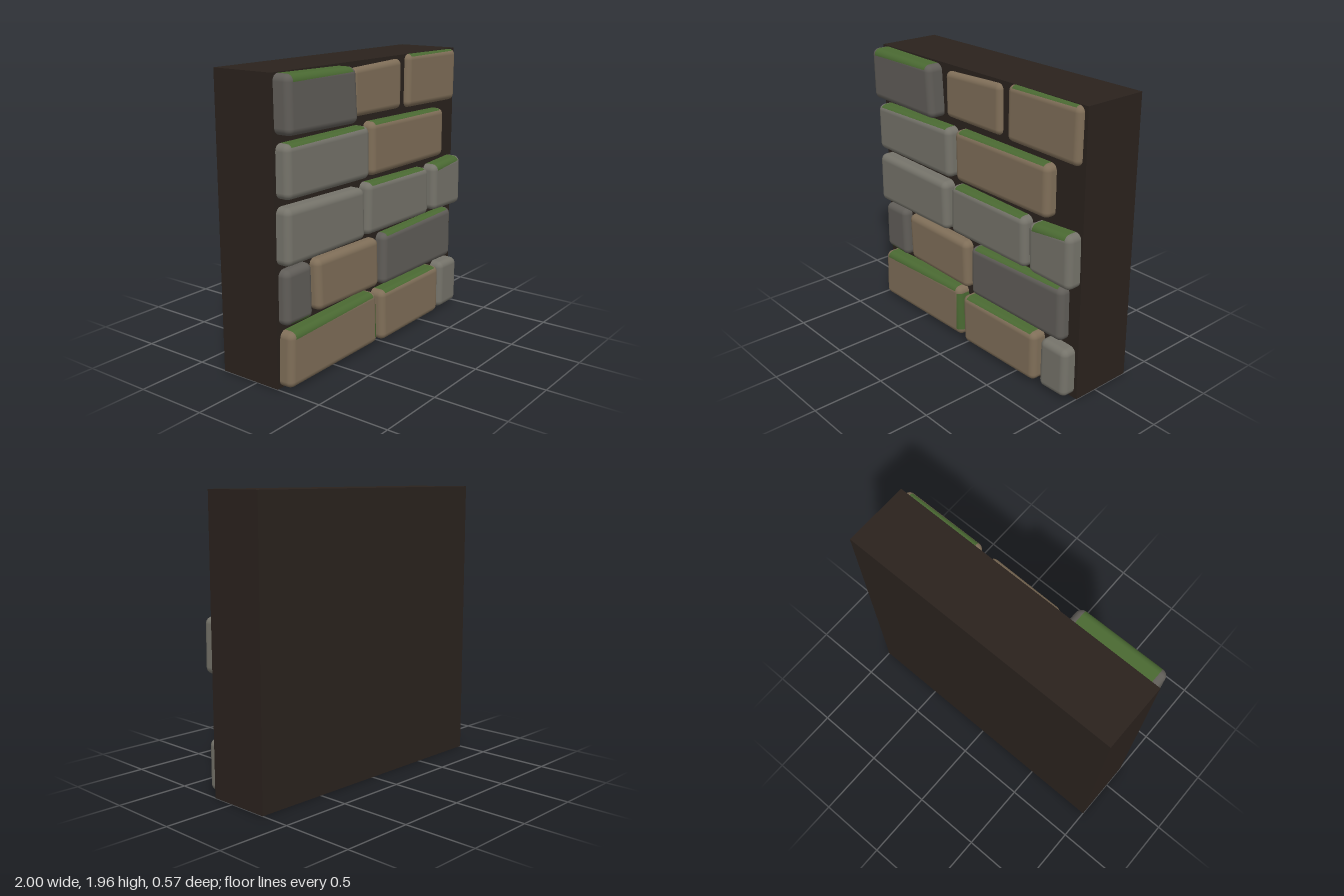
import * as THREE from 'three';
import { RoundedBoxGeometry } from 'three/addons/geometries/RoundedBoxGeometry.js';

const mat = (color) => new THREE.MeshStandardMaterial({ color });
const materials = {
  mortar: mat(0x2a221d), brown: mat(0x7f6e58), light: mat(0x75736a),
  dark: mat(0x605d58), moss: mat(0x4a6932),
};
const BACK = 0.1; // stones are sunk into the mortar slab (its face is at z = 0.17)
const lerp = THREE.MathUtils.lerp;

// Each stone: [colour, front z, mossy edges, x/y of bottom left, bottom right, top right, top left]
const stones = [
  // bottom course
  ['brown', 0.265, 'TR', -0.98, 0.01, -0.055, 0.02, -0.075, 0.395, -0.965, 0.375],
  ['brown', 0.275, 't', -0.02, 0.01, 0.70, 0.02, 0.70, 0.375, -0.03, 0.375],
  ['light', 0.265, '', 0.735, 0.02, 0.975, 0.025, 0.975, 0.37, 0.74, 0.375],
  // second course
  ['dark', 0.24, 'b', -0.975, 0.415, -0.715, 0.405, -0.725, 0.775, -0.97, 0.77],
  ['brown', 0.24, '', -0.665, 0.42, -0.01, 0.41, -0.02, 0.76, -0.68, 0.77],
  ['dark', 0.245, 't', 0.03, 0.40, 0.91, 0.40, 0.905, 0.78, 0.03, 0.765],
  // third course
  ['light', 0.265, '', -0.985, 0.80, -0.20, 0.80, -0.21, 1.15, -0.98, 1.165],
  ['light', 0.255, 't', -0.17, 0.805, 0.58, 0.80, 0.57, 1.145, -0.16, 1.16],
  ['light', 0.27, 'T', 0.625, 0.81, 0.99, 0.80, 0.985, 1.17, 0.615, 1.145],
  // fourth course
  ['light', 0.265, 't', -0.975, 1.21, -0.155, 1.20, -0.16, 1.55, -0.975, 1.545],
  ['brown', 0.25, 't', -0.115, 1.20, 0.765, 1.20, 0.765, 1.55, -0.12, 1.56],
  // top course
  ['dark', 0.287, 'T', -0.98, 1.595, -0.305, 1.585, -0.33, 1.945, -0.985, 1.955],
  ['brown', 0.205, '', -0.26, 1.605, 0.285, 1.60, 0.285, 1.94, -0.26, 1.92],
  ['brown', 0.21, 't', 0.35, 1.595, 0.97, 1.585, 0.975, 1.955, 0.355, 1.96],
];

// Mossy edge rules: capitals reach over the front bevel, lower case stays on the edge face
const mossRules = {
  T: (n, along) => n.y > 0.2 && n.z > -0.5 && along.x,
  t: (n, along) => n.y > 0.65 && n.z > -0.5 && along.x,
  b: (n, along) => n.y < -0.45 && n.z > -0.5 && along.x,
  R: (n, along) => n.x > 0.2 && n.z > -0.5 && along.y,
};

// Rounded block whose outline is warped to four corners, its faces sorted into stone and moss
function createStone([colour, front, edges, ax, ay, bx, by, cx, cy, dx, dy], index) {
  const w = (bx - ax + cx - dx) / 2, h = (dy - ay + cy - by) / 2, depth = front - BACK;
  const r = Math.min(0.045, depth * 0.38);
  const box = new RoundedBoxGeometry(w, h, depth, 3, r);
  const pos = box.attributes.position, nor = box.attributes.normal;
  const parts = { stone: { p: [], n: [] }, moss: { p: [], n: [] } };
  const p = new THREE.Vector3(), n = new THREE.Vector3(), mid = new THREE.Vector3();

  for (let f = 0; f < pos.count; f += 3) {
    n.set(0, 0, 0);
    mid.set(0, 0, 0);
    for (let k = f; k < f + 3; k++) {
      n.add(p.fromBufferAttribute(nor, k));
      mid.add(p.fromBufferAttribute(pos, k));
    }
    n.normalize();
    mid.divideScalar(3);
    const along = { x: Math.abs(mid.x) < w / 2 - r, y: Math.abs(mid.y) < h / 2 - r };
    const mossy = [...edges].some((e) => mossRules[e](n, along));
    const out = mossy ? parts.moss : parts.stone;
    for (let k = f; k < f + 3; k++) {
      p.fromBufferAttribute(pos, k);
      const u = p.x / w + 0.5, v = p.y / h + 0.5;
      out.p.push(
        lerp(lerp(ax, bx, u), lerp(dx, cx, u), v),
        lerp(lerp(ay, by, u), lerp(dy, cy, u), v),
        p.z + (front + BACK) / 2,
      );
      out.n.push(nor.getX(k), nor.getY(k), nor.getZ(k));
    }
  }

  const group = new THREE.Group();
  group.name = `stone${index + 1}`;
  for (const [name, data] of Object.entries(parts)) {
    if (!data.p.length) continue;
    const geometry = new THREE.BufferGeometry();
    geometry.setAttribute('position', new THREE.Float32BufferAttribute(data.p, 3));
    geometry.setAttribute('normal', new THREE.Float32BufferAttribute(data.n, 3));
    const mesh = new THREE.Mesh(geometry, materials[name === 'moss' ? 'moss' : colour]);
    mesh.name = name === 'moss' ? 'mossEdge' : 'stoneBlock';
    group.add(mesh);
  }
  return group;
}

export function createModel() {
  const wall = new THREE.Group();
  wall.name = 'stoneWall';

  // Mortar slab behind the stones
  const slab = new THREE.Mesh(new THREE.BoxGeometry(2, 1.96, 0.457), materials.mortar);
  slab.name = 'mortarSlab';
  slab.position.set(0, 0.98, -0.0585);
  wall.add(slab);

  stones.forEach((stone, i) => wall.add(createStone(stone, i)));
  return wall;
}
